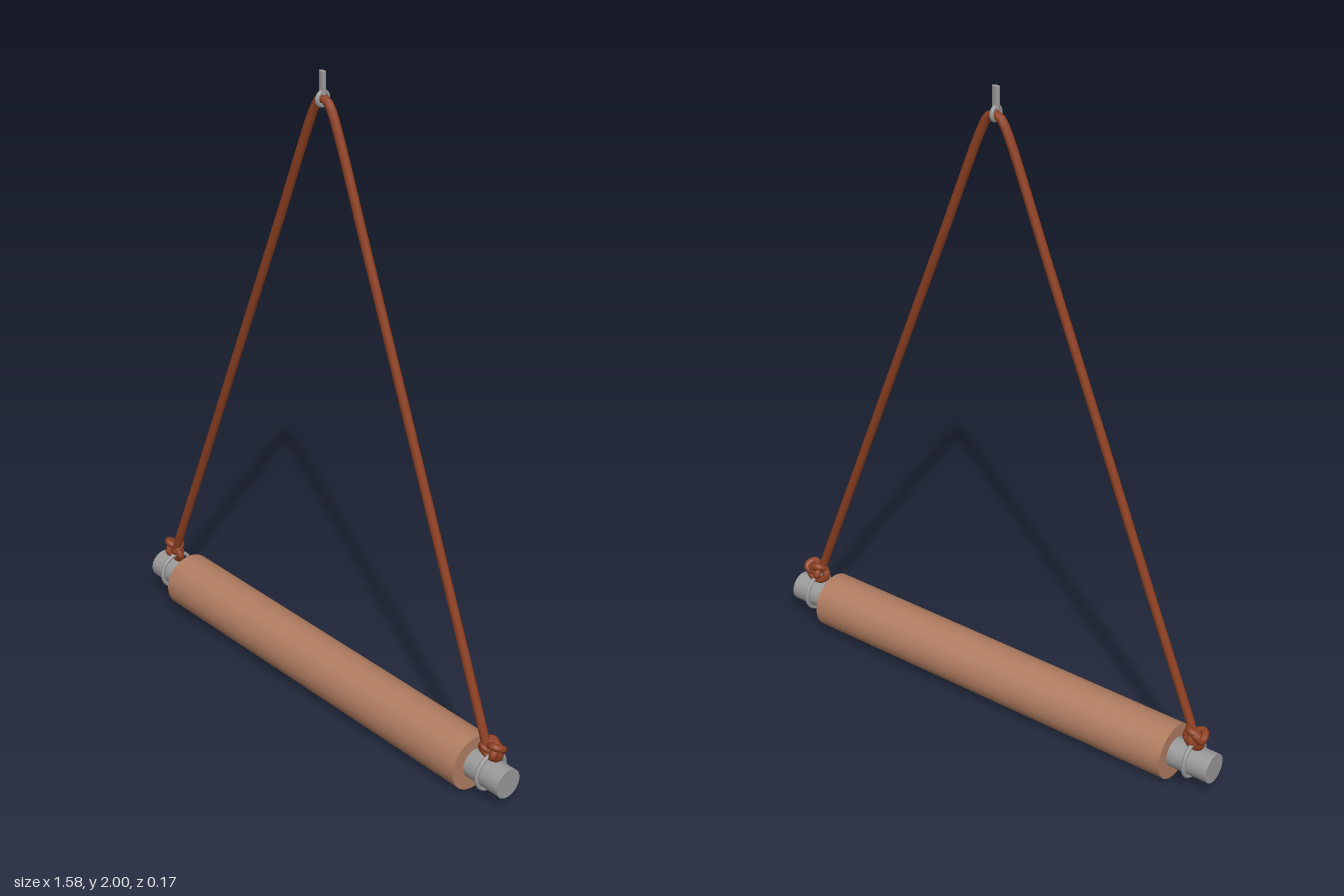
import * as THREE from 'three';

export function createModel() {
  const model = new THREE.Group();
  const mat = (name, color) => {
    const m = new THREE.MeshStandardMaterial({ color });
    m.name = name;
    return m;
  };
  const padding = mat('tan padding', 0xb07c60);
  const metal = mat('grey metal', 0x999999);
  const cord = mat('rust cord', 0x8e4022);

  const add = (name, geometry, material, x = 0, y = 0, z = 0) => {
    const mesh = new THREE.Mesh(geometry, material);
    mesh.name = name;
    mesh.position.set(x, y, z);
    model.add(mesh);
    return mesh;
  };
  const rope = (name, points, radius, segments, closed = false) => {
    const path = new THREE.CatmullRomCurve3(points.map((p) => new THREE.Vector3(...p)), closed);
    return add(name, new THREE.TubeGeometry(path, segments, radius, 10, closed), cord);
  };

  // Padded roller and the metal bar through it
  const barY = 0.09;
  add('roller', new THREE.CylinderGeometry(0.087, 0.087, 1.31, 48).rotateZ(Math.PI / 2), padding, 0, barY);
  add('bar', new THREE.CylinderGeometry(0.046, 0.046, 1.58, 32).rotateZ(Math.PI / 2), metal, 0, barY);

  // Hanging cord, threaded through the hook eye
  const half = [[0.705, 0.19, 0.008], [0.69, 0.23, 0.008], [0.53, 0.637, 0.004],
    [0.36, 1.07, 0.001], [0.19, 1.5, -0.002], [0.035, 1.89, -0.004], [0.018, 1.914, -0.004]];
  const mirrored = half.map(([x, y, z]) => [-x, y, z]).reverse();
  rope('hangingCord', [...half, [0, 1.922, -0.004], ...mirrored], 0.0135, 160);

  // Loose rings on the bar ends, with a knot tied to each
  for (const s of [-1, 1]) {
    const side = s > 0 ? 'left' : 'right';
    const ring = new THREE.TorusGeometry(0.057, 0.0065, 10, 40).rotateY(Math.PI / 2);
    add(side + 'Ring', ring, metal, s * 0.72, 0.097);

    // Overhand knot as a squashed trefoil
    const knot = [];
    for (let i = 0; i < 24; i++) {
      const t = (i / 24) * Math.PI * 2;
      knot.push([
        s * (0.726 + 0.0105 * (Math.sin(t) + 2 * Math.sin(2 * t))),
        0.18 + 0.0085 * (Math.cos(t) - 2 * Math.cos(2 * t)),
        -0.014 * Math.sin(3 * t),
      ]);
    }
    rope(side + 'Knot', knot, 0.0115, 96, true);

    // Loop around the ring below the knot
    rope(side + 'KnotLoop', [[s * 0.705, 0.19, 0.008], [s * 0.688, 0.165, 0.006], [s * 0.7, 0.148, 0],
      [s * 0.72, 0.142, -0.003], [s * 0.742, 0.152, -0.006], [s * 0.745, 0.178, -0.008],
      [s * 0.722, 0.19, -0.012]], 0.0115, 40, true);
  }

  // Hook: a small eye with a stem above it
  add('hookEye', new THREE.TorusGeometry(0.019, 0.0065, 10, 32).rotateY(Math.PI / 2), metal, 0, 1.922);
  const stem = add('hookStem', new THREE.CylinderGeometry(0.012, 0.012, 0.065, 24), metal, 0, 1.9675);
  stem.scale.z = 0.55;

  return model;
}
